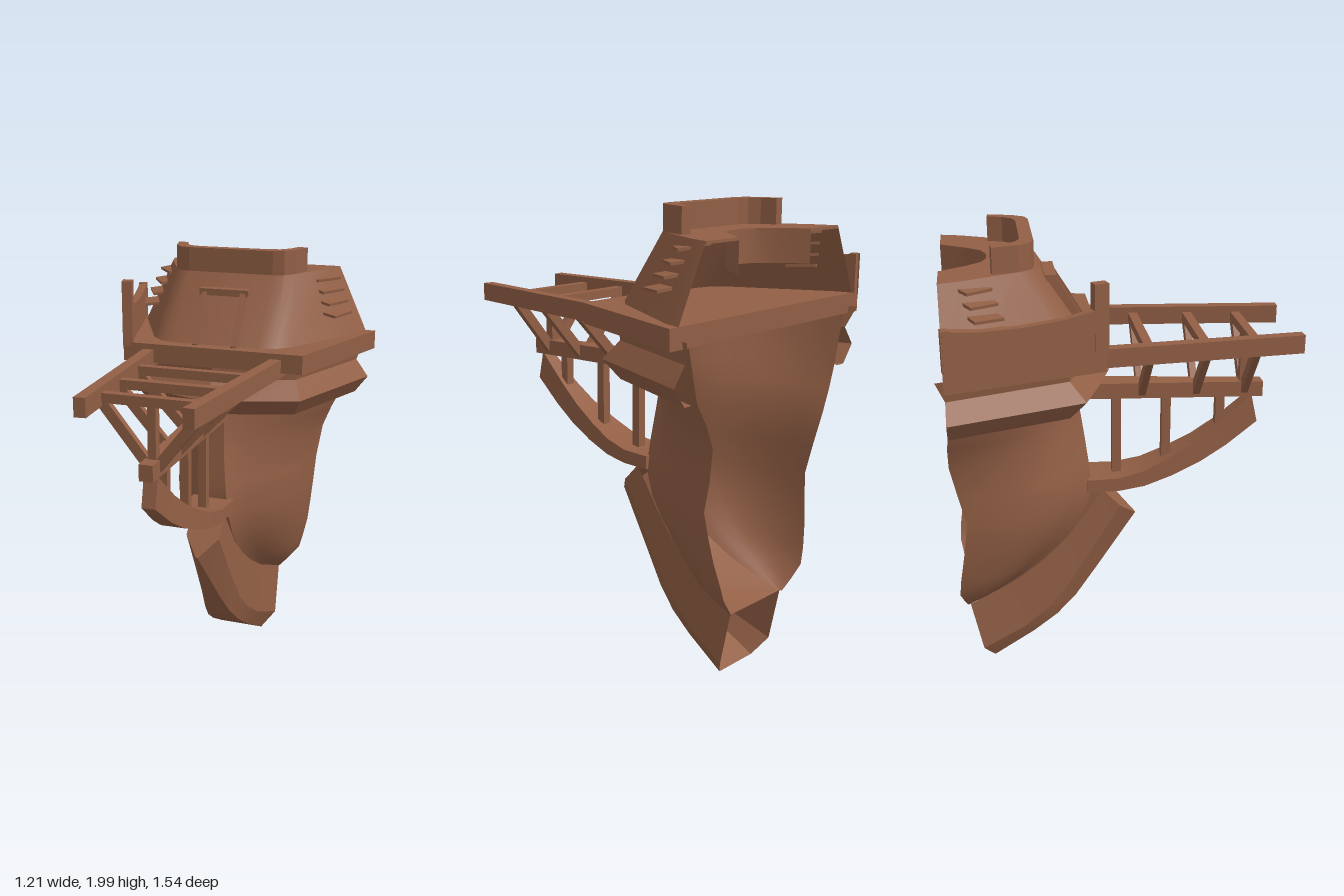
import * as THREE from 'three';
import { toCreasedNormals } from 'three/addons/utils/BufferGeometryUtils.js';

const wood = new THREE.MeshStandardMaterial({ color: 0x925f45, side: THREE.DoubleSide });
wood.name = 'brown wood';

// Surface through rows of points; each row is a list of [x, y, z]
function loft(rows, crease = 0.5) {
  const n = rows[0].length, index = [];
  for (let r = 0; r < rows.length - 1; r++) {
    for (let i = 0; i < n - 1; i++) {
      const a = r * n + i, b = a + 1, c = a + n, d = c + 1;
      index.push(a, b, c, b, d, c);
    }
  }
  const g = new THREE.BufferGeometry();
  g.setAttribute('position', new THREE.Float32BufferAttribute(rows.flat(2), 3));
  g.setIndex(index);
  return toCreasedNormals(g, crease);
}

// Mirror a half plan (centre to side) into a full row running from -x to +x
function mirrorRow(half) {
  const left = half.slice(half[0][0] === 0 ? 1 : 0).reverse().map(([x, y, z]) => [-x, y, z]);
  return [...left, ...half];
}

// Horizontal U-shaped row with a flat nose; plan holds [width fraction, depth fraction]
const planRow = (plan, y, w, front, back, nose) =>
  mirrorRow(plan.map(([u, v]) => [nose + u * (w - nose), y, front + (back - front) * v]));

// Upright prism from a plan outline of [x, z]
function slab(points, y0, y1) {
  const s = new THREE.Shape(points.map(([x, z]) => new THREE.Vector2(x, -z)));
  const g = new THREE.ExtrudeGeometry(s, { depth: y1 - y0, bevelEnabled: false });
  g.rotateX(-Math.PI / 2);
  g.translate(0, y0, 0);
  return g;
}

export function createModel() {
  const model = new THREE.Group();
  model.name = 'shipBow';
  const add = (name, geometry) => {
    const m = new THREE.Mesh(geometry, wood);
    m.name = name;
    model.add(m);
    return m;
  };
  const box = (name, w, h, d, x, y, z) => {
    const m = add(name, new THREE.BoxGeometry(w, h, d));
    m.position.set(x, y, z);
    return m;
  };
  const beam = (name, a, b, w, h) => {
    const p = new THREE.Vector3(...a), q = new THREE.Vector3(...b);
    const m = add(name, new THREE.BoxGeometry(w, h, p.distanceTo(q)));
    m.position.copy(p).add(q).multiplyScalar(0.5);
    m.lookAt(q);
    return m;
  };

  // Hull shell, open at the back: y, half width, front z, back z, half width of the flat stem
  const hullPlan = [[0, 0], [0.1, 0.08], [0.25, 0.17], [0.42, 0.26], [0.65, 0.4], [0.85, 0.61], [0.96, 0.82], [1, 1]];
  const hullRows = [
    [1.51, 0.5, -0.15, -0.73, 0.04], [1.29, 0.45, -0.17, -0.73, 0.04], [1.2, 0.405, -0.165, -0.74, 0.04],
    [1.1, 0.365, -0.15, -0.74, 0.045], [0.95, 0.345, -0.13, -0.71, 0.06], [0.82, 0.34, -0.12, -0.68, 0.075],
    [0.7, 0.325, -0.165, -0.695, 0.085], [0.6, 0.31, -0.235, -0.71, 0.09], [0.5, 0.285, -0.345, -0.725, 0.1],
    [0.43, 0.265, -0.45, -0.73, 0.12], [0.37, 0.215, -0.57, -0.715, 0.145], [0.325, 0.175, -0.69, -0.7, 0.165],
  ];
  add('hull', loft(hullRows.map((r) => planRow(hullPlan, ...r)), 0.7));

  // Moulded band round the top of the hull
  const bandPlan = [[0, 0], [0.3, 0.08], [0.68, 0.2], [1, 1]];
  const bandRows = [
    [1.54, 0.55, -0.11, -0.765, 0], [1.45, 0.52, -0.11, -0.73, 0], [1.37, 0.58, -0.03, -0.73, 0],
    [1.29, 0.52, -0.11, -0.73, 0], [1.29, 0.48, -0.15, -0.73, 0],
  ];
  add('hullBand', loft(bandRows.map((r) => planRow(bandPlan, ...r)), 0.2));

  // Hollow cutwater under the hull: [outer z, y], [chamfer z, y], [hull z, y], outer and side half widths
  const cutwater = [
    [[0.09, 0.66], [0.01, 0.735], [-0.07, 0.82], 0.004, 0.08],
    [[-0.1, 0.4], [-0.13, 0.51], [-0.2, 0.64], 0.04, 0.088],
    [[-0.2, 0.27], [-0.25, 0.33], [-0.28, 0.555], 0.063, 0.1],
    [[-0.29, 0.185], [-0.34, 0.235], [-0.37, 0.48], 0.08, 0.115],
    [[-0.4, 0.11], [-0.45, 0.16], [-0.48, 0.412], 0.093, 0.135],
    [[-0.59, 0.003], [-0.64, 0.08], [-0.69, 0.325], 0.11, 0.17],
  ];
  const cutRows = cutwater.map(([o, c, h, a, b]) =>
    mirrorRow([[a, o[1], o[0]], [b, c[1], c[0]], [b, h[1], h[0]]]));
  add('cutwater', loft(cutRows, 0.35));
  const tip = cutRows[0];
  add('cutwaterCap', loft([[tip[2], tip[1], tip[0], [-0.08, 0.82, -0.13]],
    [tip[3], tip[4], tip[5], [0.08, 0.82, -0.13]]], 0.2));

  // Beak: curved lower timber and straight bar; z, bottom y, top y, half width, top z
  const timber = (name, stations) => {
    const rows = stations.map(([z, y0, y1, w, zt = z]) =>
      [[-w, y0, z], [w, y0, z], [w, y1, zt], [-w, y1, zt], [-w, y0, z]]);
    add(name, loft(rows, 0.4));
    for (const r of [rows[0], rows[rows.length - 1]]) add(name + 'End', loft([[r[0], r[1]], [r[3], r[2]]]));
  };
  timber('beakTimber', [
    [0.64, 1.1, 1.23, 0.03, 0.61], [0.5, 0.995, 1.1, 0.042, 0.46], [0.38, 0.925, 1.02, 0.055, 0.35],
    [0.25, 0.87, 0.955, 0.07, 0.23], [0.12, 0.83, 0.905, 0.083], [0, 0.818, 0.88, 0.095], [-0.14, 0.82, 0.88, 0.1],
  ]);
  timber('beakBar', [[0.66, 1.22, 1.29, 0.03], [-0.18, 1.255, 1.325, 0.055]]);
  for (const [z, y] of [[0.47, 1.05], [0.225, 0.92], [0, 0.86]]) {
    box('beakPost', 0.04, 1.27 - y, 0.04, 0, (1.27 + y) / 2, z);
  }

  // Upper ladder-like rails with cross bars and slanted struts
  for (const s of [-1, 1]) {
    beam('beakRail', [s * 0.222, 1.53, 0.77], [s * 0.318, 1.53, -0.3], 0.05, 0.08);
  }
  for (const [z, x] of [[0.11, 0.26], [0.355, 0.24], [0.575, 0.22]]) {
    box('crossBar', x * 2, 0.04, 0.04, 0, 1.525, z);
    for (const s of [-1, 1]) beam('strut', [s * 0.015, 1.255, z], [s * x, 1.51, z], 0.03, 0.045);
  }
  box('centrePost', 0.035, 0.28, 0.04, 0, 1.39, 0.575);

  // Deck
  add('deck', slab([[-0.605, -0.73], [-0.42, -0.09], [0.42, -0.09], [0.605, -0.73]], 1.51, 1.595));

  // Forecastle wall, sloping inwards and open at the back
  const foot = [[0, -0.155], [0.2, -0.155], [0.27, -0.175], [0.33, -0.235], [0.54, -0.65], [0.56, -0.73]];
  const head = [[0, -0.355], [0.2, -0.355], [0.25, -0.37], [0.285, -0.42], [0.395, -0.65], [0.42, -0.735]];
  const wallRow = (pts, y) => mirrorRow(pts.map(([x, z]) => [x, y, z]));
  add('forecastleWall', loft([wallRow(head, 1.89), wallRow(foot, 1.59)], 0.6));

  // Forecastle roof with a rounded notch at the back, and the wall lining it
  const notch = [[0, -0.54], [0.05, -0.545], [0.1, -0.565], [0.16, -0.63], [0.23, -0.735]];
  const flip = (pts) => pts.slice(1).map(([x, z]) => [-x, z]);
  const roof = [...flip(head).reverse(), ...head, ...notch.slice().reverse(), ...flip(notch)];
  add('forecastleRoof', slab(roof, 1.878, 1.89));
  add('notchWall', loft([wallRow(notch, 1.885), wallRow(notch, 1.75)], 0.6));

  // Raised curved rim on the roof
  const rimOut = [[0, -0.355], [0.2, -0.355], [0.25, -0.37], [0.285, -0.42], [0.315, -0.525]];
  const rimIn = [[0, -0.41], [0.17, -0.41], [0.215, -0.425], [0.25, -0.465], [0.27, -0.53]];
  add('roofRim', slab([...flip(rimOut).reverse(), ...rimOut, ...rimIn.slice().reverse(), ...flip(rimIn)], 1.88, 1.997));

  // Door frame leaning on the front wall
  for (const s of [-1, 1]) beam('doorPost', [s * 0.09, 1.59, -0.145], [s * 0.09, 1.81, -0.28], 0.024, 0.04);
  box('doorLintel', 0.23, 0.03, 0.05, 0, 1.815, -0.285);

  // Fans of thin louvres on both side walls
  for (const s of [-1, 1]) {
    for (let i = 0; i < 4; i++) {
      const m = box('louvre', 0.09, 0.012, 0.13, s * (0.452 - i * 0.026), 1.705 + i * 0.05, -0.545 - i * 0.02);
      m.rotation.set(0.05, s * (-0.4 - i * 0.1), s * -0.1);
    }
  }

  // Bulwark along one side of the deck, its top sagging between posts
  const side = [[-0.405, -0.11, 1.77], [-0.45, -0.26, 1.745], [-0.5, -0.43, 1.735], [-0.545, -0.58, 1.74], [-0.588, -0.73, 1.76]];
  add('bulwark', loft(side.map(([x, z, y]) =>
    [[x - 0.02, 1.58, z], [x - 0.02, y, z], [x + 0.02, y, z], [x + 0.02, 1.58, z]]), 0.4));
  const post = box('bulwarkPost', 0.045, 0.29, 0.06, -0.405, 1.725, -0.115);
  post.rotation.y = 0.28;
  const rearPost = box('bulwarkRearPost', 0.04, 0.17, 0.03, -0.585, 1.675, -0.715);
  rearPost.rotation.y = 0.28;

  return model;
}
